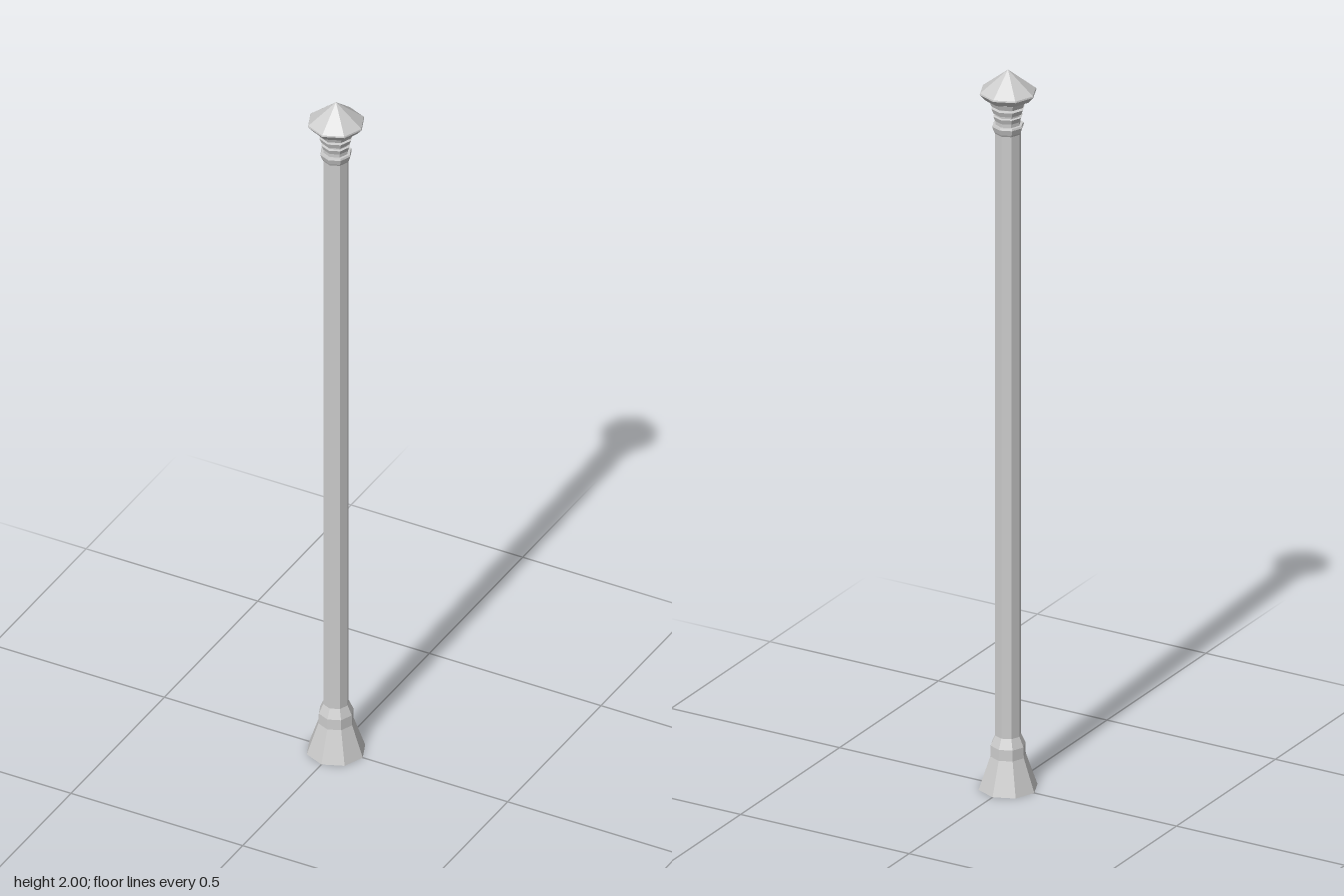
import * as THREE from 'three';

const SIDES = 8;
const material = new THREE.MeshStandardMaterial({ color: 0xcccccc, flatShading: true });

// Octagonal turned part; profile is [radius, height] from bottom to top.
function turned(name, profile) {
  const points = profile.map(([r, y]) => new THREE.Vector2(r, y));
  const mesh = new THREE.Mesh(new THREE.LatheGeometry(points, SIDES), material);
  mesh.name = name;
  return mesh;
}

export function createModel() {
  const group = new THREE.Group();
  group.name = 'chimneyPipe';

  // Flared foot with a short straight neck
  group.add(turned('base', [
    [0, 0], [0.078, 0], [0.047, 0.09], [0.046, 0.12], [0.034, 0.147], [0, 0.147],
  ]));

  // Long straight shaft
  group.add(turned('shaft', [[0.034, 0.14], [0.034, 1.835]]));

  // Collar at the top of the shaft
  group.add(turned('collar', [
    [0.034, 1.825], [0.037, 1.83], [0.042, 1.845], [0.04, 1.85], [0, 1.85],
  ]));

  // Narrow core carrying the vent rings
  group.add(turned('ventCore', [[0.033, 1.84], [0.033, 1.93]]));

  // Vent rings, flaring upward and widening toward the cap
  const rings = [[1.86, 0.039], [1.882, 0.044], [1.902, 0.049]];
  rings.forEach(([y, r], i) => group.add(turned(`ventRing${i + 1}`, [
    [0.032, y], [r - 0.005, y], [r, y + 0.013], [0.032, y + 0.015],
  ])));

  // Pointed cap with an undercut rim
  group.add(turned('cap', [
    [0, 1.92], [0.06, 1.92], [0.075, 1.937], [0.074, 1.941], [0.03, 1.976], [0, 2],
  ]));

  return group;
}
